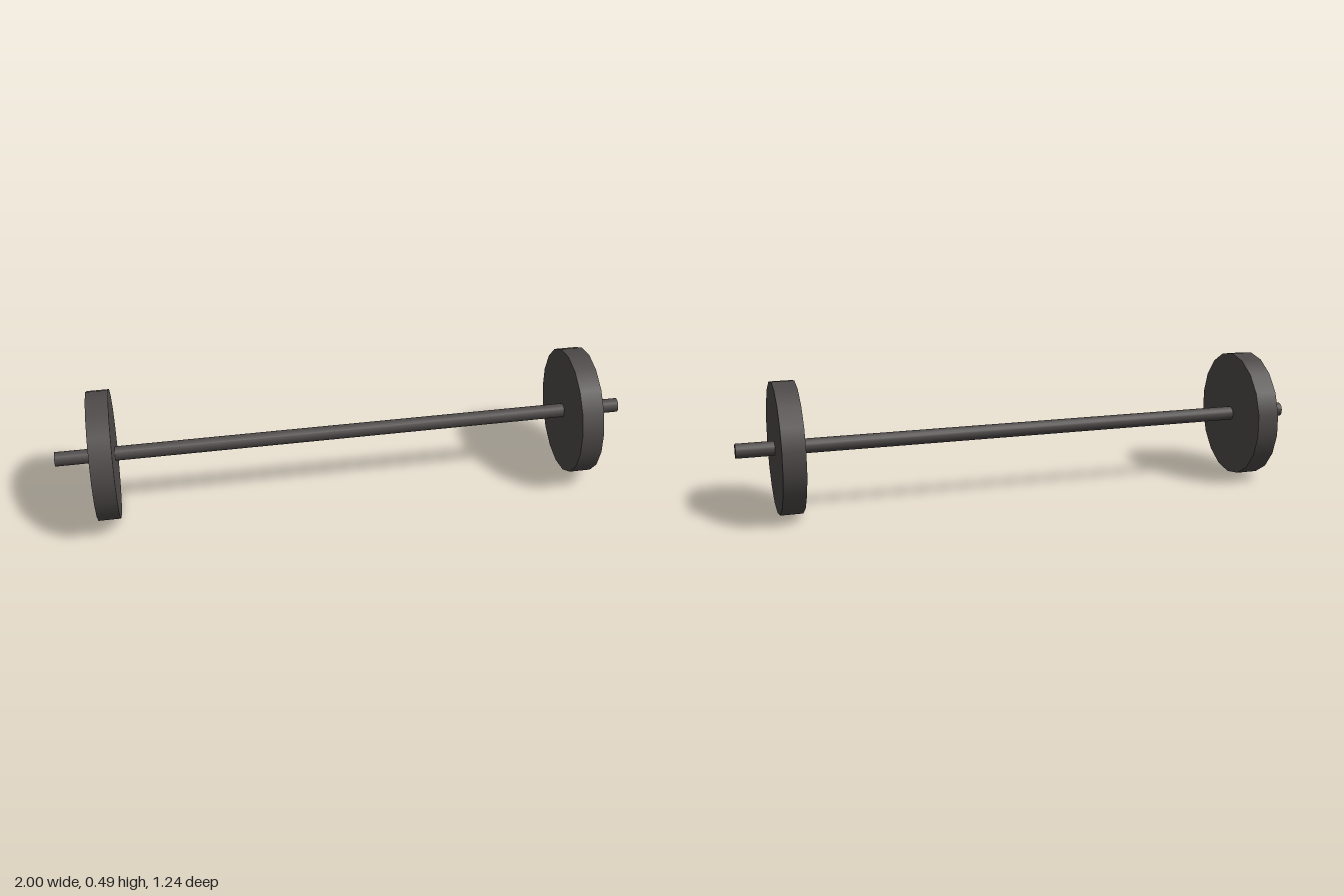
import * as THREE from 'three';

export function createModel() {
  const model = new THREE.Group();
  model.name = 'barbell';
  const iron = new THREE.MeshStandardMaterial({ color: 0x4f4a4a });
  iron.name = 'dark iron';

  // Cylinder lying along x, with a vertex at the top
  const addRod = (name, radius, length, sides, x) => {
    const geometry = new THREE.CylinderGeometry(radius, radius, length, sides);
    geometry.rotateY(Math.PI / 2).rotateZ(Math.PI / 2);
    const mesh = new THREE.Mesh(geometry, iron);
    mesh.name = name;
    mesh.position.set(x, 0.244, 0);
    barbell.add(mesh);
  };

  // The whole barbell lies turned on the floor
  const barbell = new THREE.Group();
  barbell.name = 'turnedBarbell';
  barbell.rotation.y = THREE.MathUtils.degToRad(25);
  model.add(barbell);

  addRod('bar', 0.027, 2.182, 18, 0);
  addRod('leftPlate', 0.244, 0.083, 18, 0.911);
  addRod('rightPlate', 0.244, 0.083, 18, -0.911);
  return model;
}
